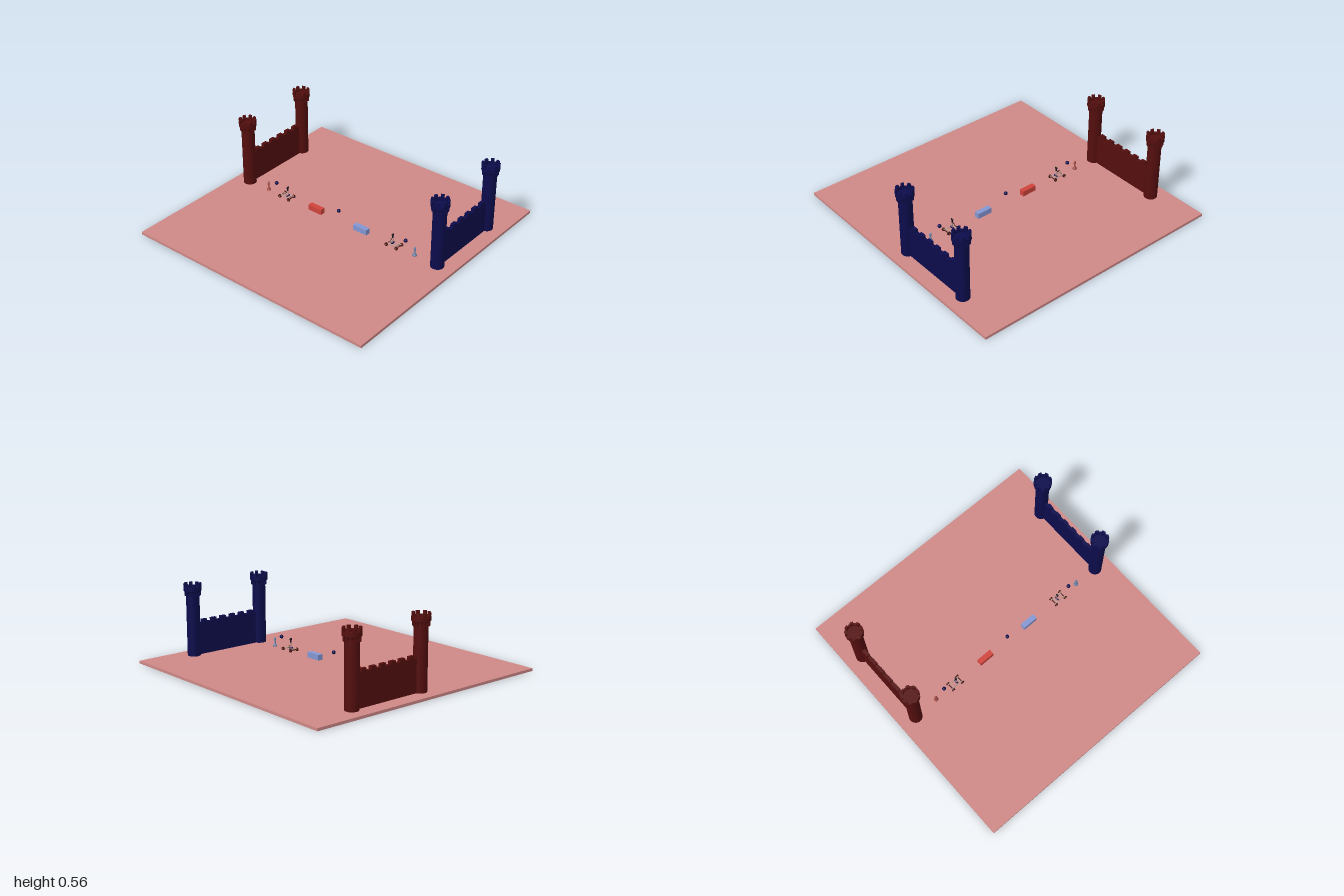
import * as THREE from 'three';

const mat = (name, color, side = THREE.FrontSide) => {
  const m = new THREE.MeshStandardMaterial({ color, side });
  m.name = name;
  return m;
};

export function createModel() {
  const root = new THREE.Group();
  root.name = 'castleBoard';

  const rose = mat('rose ground', 0xce8886);
  const darkRed = mat('dark red stone', 0x540e0e);
  const navy = mat('navy stone', 0x0c0c4c);
  const red = mat('red', 0xcf433b);
  const blue = mat('light blue', 0x8496d2);
  const clay = mat('clay piece', 0xa8524a);
  const steel = mat('steel blue piece', 0x7088b0);
  const pale = mat('pale timber', 0xc09a92);
  const brown = mat('wheel brown', 0x4a1812);
  const black = mat('near black', 0x14101c);

  const GROUND = 0.02;
  const add = (parent, name, geo, material, x = 0, y = 0, z = 0) => {
    const m = new THREE.Mesh(geo, material);
    m.name = name;
    m.position.set(x, y, z);
    parent.add(m);
    return m;
  };
  const box = (w, h, d) => new THREE.BoxGeometry(w, h, d);
  const group = (name, parent, x, y, z) => {
    const g = new THREE.Group();
    g.name = name;
    g.position.set(x, y, z);
    parent.add(g);
    return g;
  };
  // upright block following part of a ring
  const ringBlock = (r0, r1, angle, h) => {
    const s = new THREE.Shape();
    s.absarc(0, 0, r1, -angle / 2, angle / 2, false);
    s.absarc(0, 0, r0, angle / 2, -angle / 2, true);
    const g = new THREE.ExtrudeGeometry(s, { depth: h, bevelEnabled: false, curveSegments: 4 });
    return g.rotateX(-Math.PI / 2);
  };

  add(root, 'ground', box(2, GROUND, 2), rose, 0, GROUND / 2, 0);

  // Round tower with corbels, parapet and merlons
  const merlonGeo = ringBlock(0.05, 0.066, Math.PI / 8, 0.024);
  const corbelGeo = ringBlock(0.044, 0.06, Math.PI / 14, 0.035);
  function tower(parent, material, z) {
    const t = group('tower', parent, 0, 0, z);
    add(t, 'shaft', new THREE.CylinderGeometry(0.049, 0.049, 0.5, 32), material, 0, 0.27, 0);
    const profile = [[0.046, 0.485], [0.056, 0.5], [0.066, 0.508], [0.066, 0.538],
      [0.05, 0.538], [0.05, 0.52], [0, 0.52]].map(p => new THREE.Vector2(...p));
    // repeat points so the profile keeps its hard edges
    const sharp = profile.flatMap((p, i) => (i > 1 && i < 6 ? [p, p.clone()] : [p]));
    add(t, 'parapet', new THREE.LatheGeometry(sharp, 32), material);
    for (let i = 0; i < 8; i++) {
      add(t, 'merlon', merlonGeo, material, 0, 0.538, 0).rotation.y = (i + 0.5) * Math.PI / 4;
    }
    for (let i = 0; i < 14; i++) {
      add(t, 'corbel', corbelGeo, material, 0, 0.473, 0).rotation.y = i * Math.PI / 7;
    }
  }

  // Two towers joined by a crenellated wall
  function castle(name, x, material) {
    const c = group(name, root, x, 0, 0);
    tower(c, material, 0);
    tower(c, material, -0.607);
    add(c, 'wall', box(0.026, 0.24, 0.53), material, 0, 0.14, -0.303);
    for (let i = 0; i < 6; i++) {
      add(c, 'wallMerlon', box(0.026, 0.022, 0.044), material, 0, 0.27, -0.303 + (i - 2.5) * 0.085);
    }
  }
  castle('redCastle', -0.872, darkRed);
  castle('blueCastle', 0.872, navy);

  // Loose blocks and floating balls
  add(root, 'redBlock', box(0.119, 0.042, 0.04), red, -0.211, 0.041, 0);
  add(root, 'blueBlock', box(0.119, 0.042, 0.04), blue, 0.209, 0.041, 0);
  for (const x of [-0.6, 0, 0.6]) {
    add(root, 'ball', new THREE.SphereGeometry(0.014, 20, 14), navy, x, 0.11, 0);
  }

  // Turned game pieces
  const pieceProfile = [[0, 0], [0.016, 0], [0.016, 0.007], [0.011, 0.013], [0.0065, 0.022],
    [0.005, 0.044], [0.01, 0.047], [0.006, 0.051], [0.009, 0.058], [0.007, 0.065], [0.002, 0.071], [0, 0.073]];
  const pieceGeo = new THREE.LatheGeometry(pieceProfile.map(p => new THREE.Vector2(...p)), 20);
  add(root, 'redPiece', pieceGeo, clay, -0.68, GROUND, 0);
  add(root, 'bluePiece', pieceGeo, steel, 0.68, GROUND, 0);

  // Catapult carts; dir points towards the middle of the board
  function catapult(name, x, dir) {
    const c = group(name, root, x, 0, 0);
    const axleGeo = new THREE.CylinderGeometry(0.004, 0.004, 0.064, 8).rotateX(Math.PI / 2);
    const wheelGeo = new THREE.CylinderGeometry(0.013, 0.013, 0.009, 18).rotateX(Math.PI / 2);
    for (const sx of [-1, 1]) {
      add(c, 'axle', axleGeo, brown, sx * 0.043, 0.034, 0);
      add(c, 'crossBeam', box(0.007, 0.008, 0.044), pale, sx * 0.03, 0.04, 0);
      for (const sz of [-1, 1]) {
        add(c, 'wheel', wheelGeo, brown, sx * 0.043, 0.034, sz * 0.031);
        add(c, 'hub', new THREE.CylinderGeometry(0.004, 0.004, 0.012, 10).rotateX(Math.PI / 2),
          pale, sx * 0.043, 0.034, sz * 0.031);
      }
    }
    for (const sz of [-1, 1]) {
      // side rail bowed in at the middle
      const rail = new THREE.QuadraticBezierCurve3(
        new THREE.Vector3(-0.05, 0.04, sz * 0.024),
        new THREE.Vector3(0, 0.04, sz * 0.012),
        new THREE.Vector3(0.05, 0.04, sz * 0.024));
      add(c, 'sideRail', new THREE.TubeGeometry(rail, 10, 0.0045, 8), pale);
    }
    add(c, 'pivot', new THREE.CylinderGeometry(0.006, 0.006, 0.036, 12).rotateX(Math.PI / 2),
      navy, dir * 0.011, 0.041, 0);
    add(c, 'arm', box(0.006, 0.046, 0.007), pale, dir * 0.011, 0.064, 0);
    add(c, 'armTip', box(0.006, 0.02, 0.008), black, dir * 0.011, 0.096, 0);
    add(c, 'cup', new THREE.SphereGeometry(0.009, 14, 10).scale(0.7, 1, 1.4), black, dir * 0.011, 0.112, 0);
  }
  catapult('redCatapult', -0.5, 1);
  catapult('blueCatapult', 0.5, -1);

  return root;
}
